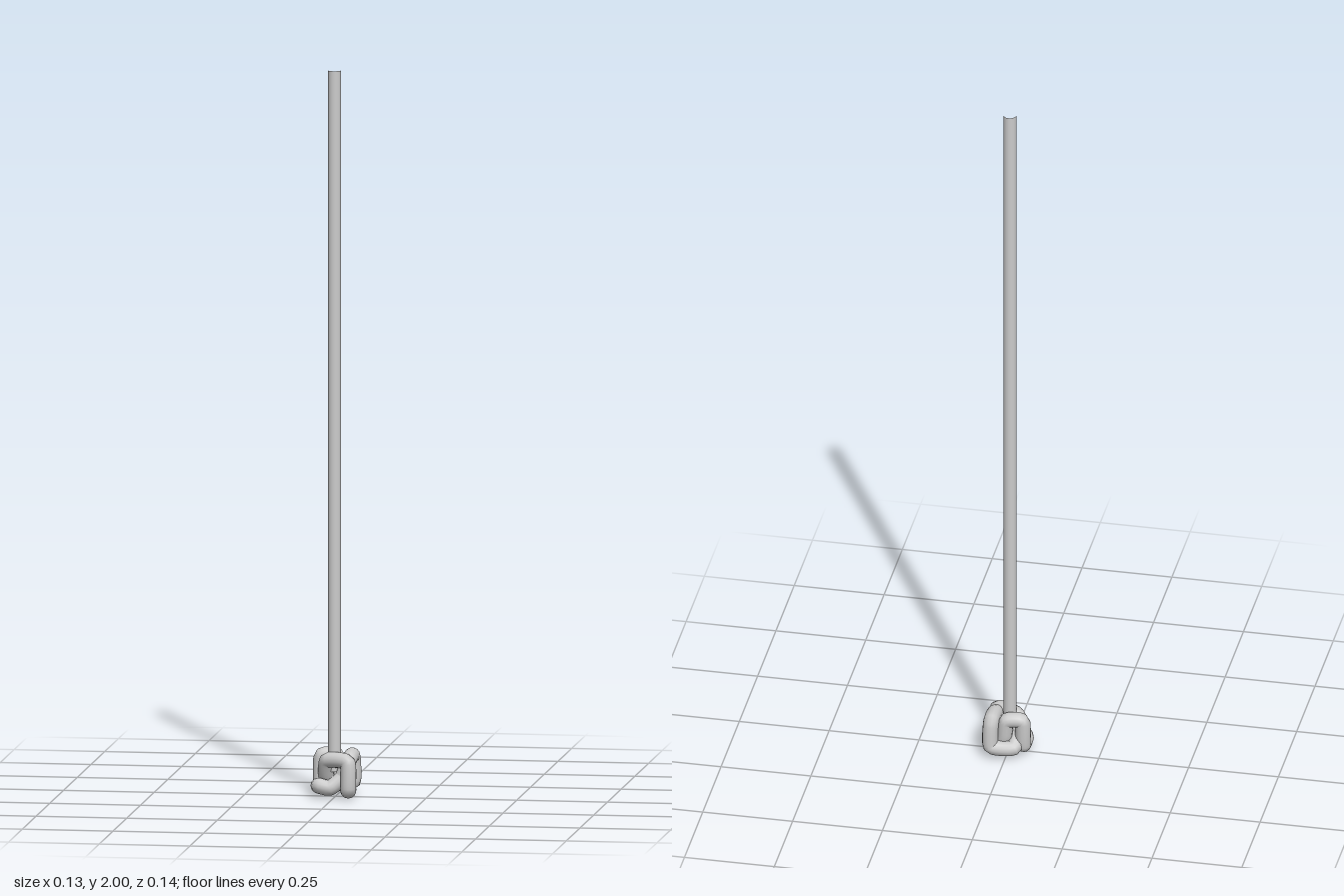
import * as THREE from 'three';

export function createModel() {
  const group = new THREE.Group();
  const material = new THREE.MeshStandardMaterial({ color: 0xcccccc });
  const add = (name, geometry) => {
    const mesh = new THREE.Mesh(geometry, material);
    mesh.name = name;
    group.add(mesh);
    return mesh;
  };

  // Long straight rope, open at its ends
  const rope = add('rope', new THREE.CylinderGeometry(0.018, 0.018, 1.93, 16, 1, true));
  rope.position.set(-0.002, 1.035, 0.004);

  // Tight three-lobed knot: each lobe starts over one strand and dives under the next
  const path = [
    // right lobe, then along the back
    [0.040, 0.104, 0.015], [0.041, 0.106, -0.043], [0.040, 0.034, -0.050], [-0.020, 0.030, -0.043],
    // rises inside, front lobe, then down and back along the right
    [-0.026, 0.055, -0.005], [-0.020, 0.101, 0.018], [0.040, 0.100, 0.045], [0.042, 0.024, 0.046],
    [0.034, 0.026, -0.008],
    // rises inside, left lobe, then forward and under the front lobe
    [0.008, 0.055, -0.026], [0.000, 0.107, -0.030], [-0.042, 0.107, -0.025], [-0.043, 0.030, -0.018],
    [-0.043, 0.032, 0.026], [-0.010, 0.027, 0.032], [0.022, 0.055, 0.020],
  ].map((p) => new THREE.Vector3(...p));
  const curve = new THREE.CatmullRomCurve3(path, true, 'catmullrom', 0.25);
  add('knot', new THREE.TubeGeometry(curve, 128, 0.0215, 14, true));

  return group;
}
